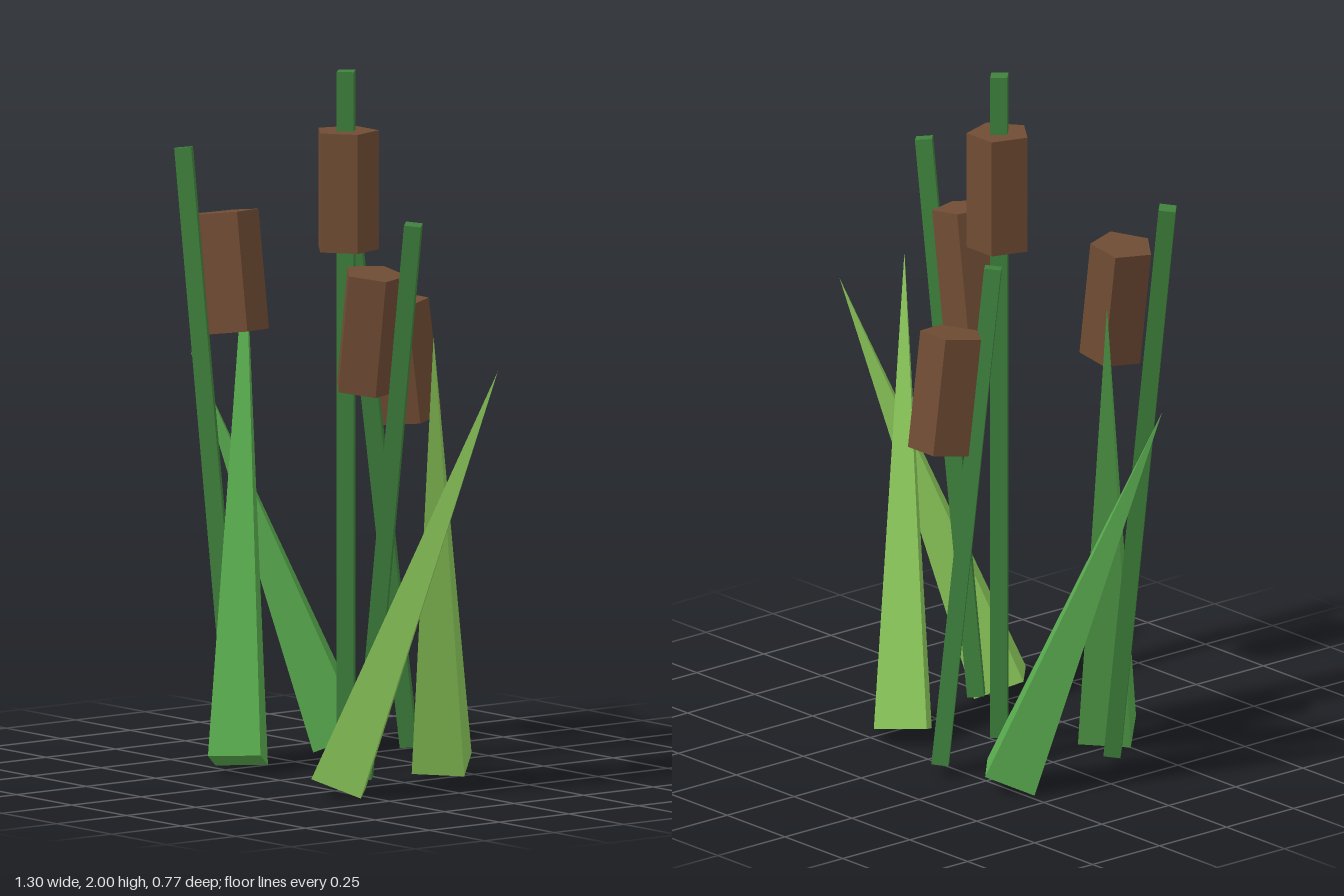
import * as THREE from 'three';

const material = (name, color) => {
  const m = new THREE.MeshStandardMaterial({ color });
  m.name = name;
  return m;
};

// Faceted normals for the low-poly look
function faceted(geometry) {
  const g = geometry.toNonIndexed();
  g.computeVertexNormals();
  return g;
}

export function createModel() {
  const model = new THREE.Group();
  model.name = 'cattails';
  const stemGreen = material('stem green', 0x3f823d);
  const leafGreen = material('leaf green', 0x58aa4e);
  const lightGreen = material('light leaf green', 0x8bc85a);
  const brown = material('seed head brown', 0x704c34);

  // Square reed stem between two points, with a five-sided seed head at the same tilt
  const headGeometry = faceted(new THREE.CylinderGeometry(0.093, 0.093, 0.34, 5));
  function addReed(name, base, top, head) {
    const a = new THREE.Vector3(...base), b = new THREE.Vector3(...top);
    const d = b.clone().sub(a);
    const tilt = new THREE.Euler(Math.atan2(d.z, d.y), 0, -Math.atan2(d.x, d.y));
    const reed = new THREE.Group();
    reed.name = name;

    const stem = new THREE.Mesh(faceted(new THREE.CylinderGeometry(0.034, 0.034, d.length(), 4)), stemGreen);
    stem.name = 'stem';
    stem.position.copy(a).add(b).multiplyScalar(0.5);
    stem.rotation.copy(tilt);

    const seedHead = new THREE.Mesh(headGeometry, brown);
    seedHead.name = 'seedHead';
    seedHead.position.set(...head);
    seedHead.rotation.copy(tilt);
    reed.add(stem, seedHead);
    model.add(reed);
  }

  addReed('centreReed', [-0.035, 0.03, -0.015], [-0.035, 2, -0.015], [-0.035, 1.66, -0.015]);
  addReed('rightReed', [-0.376, 0.035, 0.113], [-0.614, 1.725, 0.113], [-0.398, 1.396, 0.113]);
  addReed('leftReed', [0.264, 0.035, 0.157], [0.49, 1.64, 0.157], [0.29, 1.311, 0.157]);
  addReed('backReed', [-0.122, 0.035, -0.31], [-0.122, 1.47, -0.113], [-0.122, 1.14, -0.286]);

  // Four-sided pointed leaf leaning from its base centre to its tip
  function addLeaf(name, mat, base, tip) {
    const a = new THREE.Vector3(...base), b = new THREE.Vector3(...tip);
    const d = b.clone().sub(a), length = d.length();
    const leaf = new THREE.Mesh(faceted(new THREE.ConeGeometry(0.106, length, 4)), mat);
    leaf.name = name;
    leaf.position.copy(a).add(b).multiplyScalar(0.5);
    leaf.rotation.set(Math.asin(d.z / length), 0, -Math.atan2(d.x, d.y), 'ZYX');
    model.add(leaf);
  }

  addLeaf('backRightLeaf', leafGreen, [-0.336, 0.032, -0.231], [-0.654, 1.137, 0.058]);
  addLeaf('frontRightLeaf', leafGreen, [-0.205, 0.034, 0.24], [-0.57, 1.46, -0.075]);
  addLeaf('backLeftLeaf', lightGreen, [0.185, 0.032, -0.185], [0.492, 1.315, 0.086]);
  addLeaf('frontLeftLeaf', lightGreen, [0.31, 0.032, 0.285], [0.647, 1.222, -0.023]);

  return model;
}
